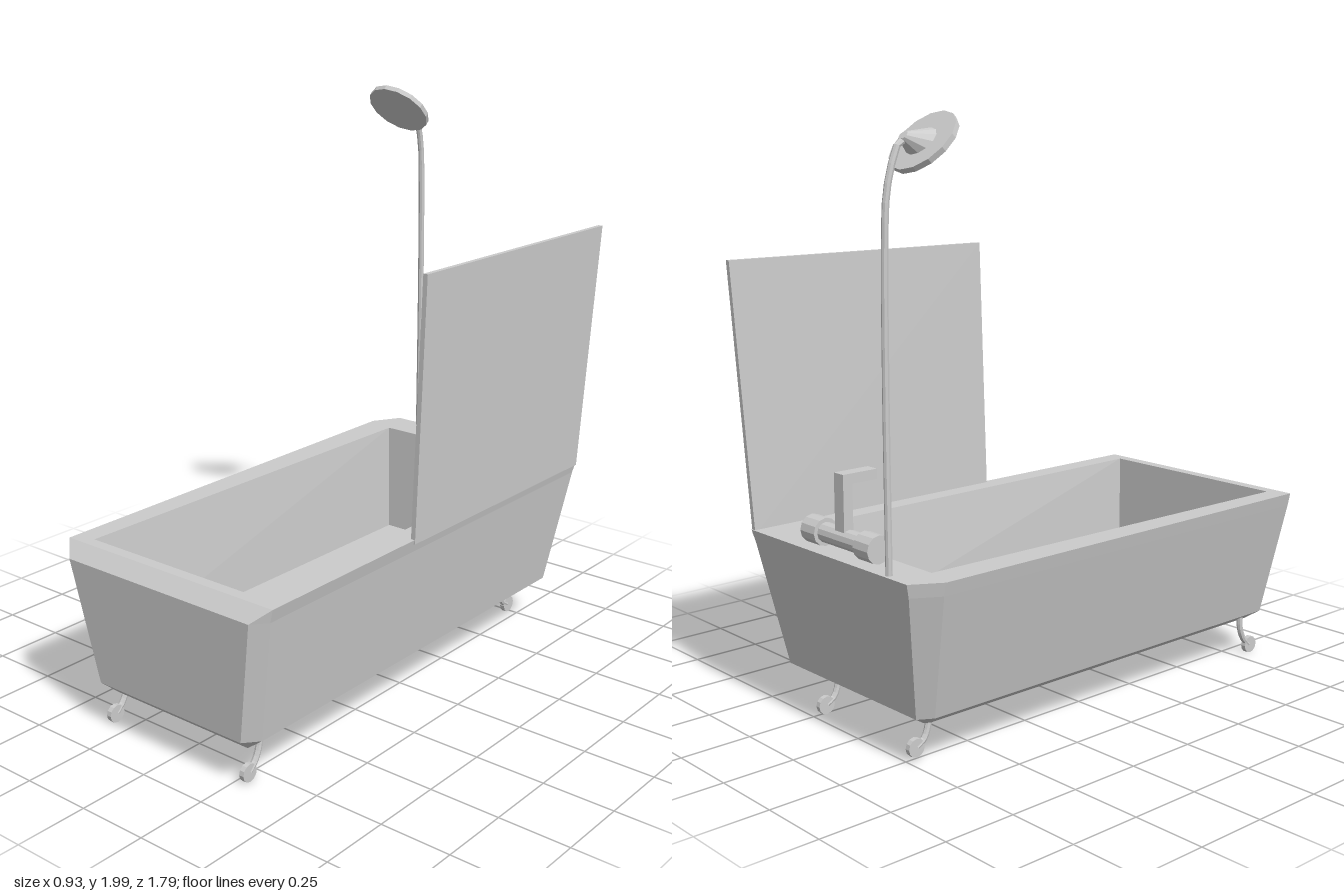
import * as THREE from 'three';

const mat = new THREE.MeshStandardMaterial({ color: 0xcccccc, flatShading: true });
const matThin = new THREE.MeshStandardMaterial({ color: 0xcccccc, flatShading: true, side: THREE.DoubleSide });

function add(parent, name, geometry, x = 0, y = 0, z = 0, material = mat) {
  const mesh = new THREE.Mesh(geometry, material);
  mesh.name = name;
  mesh.position.set(x, y, z);
  parent.add(mesh);
  return mesh;
}

function box(parent, name, x0, x1, y0, y1, z0, z1) {
  return add(parent, name, new THREE.BoxGeometry(x1 - x0, y1 - y0, z1 - z0),
    (x0 + x1) / 2, (y0 + y1) / 2, (z0 + z1) / 2);
}

function tube(parent, name, points, radius, segments) {
  const curve = new THREE.CatmullRomCurve3(points.map((p) => new THREE.Vector3(...p)));
  return add(parent, name, new THREE.TubeGeometry(curve, segments, radius, 8), 0, 0, 0, matThin);
}

// Horizontal cross-section: cut = front corner chamfer, back = chamfer of the
// right rear corner, taper = how much the rear is narrower on either side
function ring(y, x0, x1, z0, z1, { cut = 0, back = 0, taper = [0, 0] } = {}) {
  const r = x0 + taper[0], l = x1 - taper[1];
  return [
    [x1, y, z1 - cut], [l, y, z0], [l, y, z0],
    [r + back * 0.6, y, z0], [r, y, z0 + back],
    [x0, y, z1 - cut], [x0 + cut * 0.85, y, z1], [x1 - cut * 0.85, y, z1],
  ];
}

// Skin a stack of rings and cap both ends
function loft(rings) {
  const pos = [];
  const tri = (a, b, c) => pos.push(...a, ...b, ...c);
  const n = rings[0].length;
  for (let k = 0; k + 1 < rings.length; k++) {
    for (let i = 0; i < n; i++) {
      const j = (i + 1) % n, a = rings[k], b = rings[k + 1];
      tri(a[i], a[j], b[j]);
      tri(a[i], b[j], b[i]);
    }
  }
  const first = rings[0], last = rings[rings.length - 1];
  for (let i = 1; i + 1 < n; i++) {
    tri(first[0], first[i + 1], first[i]);
    tri(last[0], last[i], last[i + 1]);
  }
  const g = new THREE.BufferGeometry();
  g.setAttribute('position', new THREE.Float32BufferAttribute(pos, 3));
  g.computeVertexNormals();
  return g;
}

export function createModel() {
  const model = new THREE.Group();
  model.name = 'bathtubWithShower';

  // Tub: outer wall upwards, over the rim, down to the floor
  add(model, 'tub', loft([
    ring(0.125, -0.29, 0.29, -0.7, 0.83, { back: 0.02 }),
    ring(0.17, -0.36, 0.35, -0.77, 0.88, { cut: 0.05, back: 0.05 }),
    ring(0.59, -0.46, 0.41, -0.85, 0.9, { cut: 0.05, back: 0.09 }),
    ring(0.635, -0.47, 0.42, -0.86, 0.85, { back: 0.1 }),
    ring(0.635, -0.395, 0.35, -0.73, 0.81, { taper: [0.03, 0.02] }),
    ring(0.23, -0.36, 0.335, -0.71, 0.795, { taper: [0.015, 0.05] }),
  ]));

  // Splash screen leaning outwards, its rear edge leaning back
  const screen = new THREE.BoxGeometry(1, 1, 1);
  const p = screen.attributes.position;
  for (let i = 0; i < p.count; i++) {
    const top = p.getY(i) > 0, outer = p.getX(i) > 0, front = p.getZ(i) > 0;
    p.setXYZ(i,
      (top ? 0.445 : 0.405) + (outer ? 0.017 : 0) - (top && front ? 0.006 : 0),
      top ? 1.525 : 0.62,
      front ? 0.155 : top ? -0.895 : -0.855);
  }
  screen.computeVertexNormals();
  add(model, 'splashScreen', screen);

  // Shower pole and head
  const shower = new THREE.Group();
  shower.name = 'shower';
  model.add(shower);
  tube(shower, 'showerPole', [
    [-0.3, 0.62, -0.84], [-0.3, 1.2, -0.84], [-0.3, 1.6, -0.835], [-0.3, 1.76, -0.826],
    [-0.3, 1.86, -0.8], [-0.3, 1.91, -0.775], [-0.3, 1.925, -0.74],
  ], 0.011, 24);
  const head = new THREE.Group();
  head.name = 'showerHead';
  head.position.set(-0.3, 1.905, -0.688);
  head.rotation.x = -Math.PI / 4;
  shower.add(head);
  add(head, 'sprayDisc', new THREE.CylinderGeometry(0.118, 0.118, 0.018, 14));
  const neck = new THREE.CylinderGeometry(0.016, 0.06, 0.067, 12);
  const np = neck.attributes.position;
  for (let i = 0; i < np.count; i++) if (np.getY(i) > 0) np.setZ(i, np.getZ(i) - 0.039);
  neck.computeVertexNormals();
  add(head, 'headNeck', neck, 0, 0.034, 0);

  // Faucet: cross bar, two knobs and an angled spout
  const faucet = new THREE.Group();
  faucet.name = 'faucet';
  model.add(faucet);
  const bar = (name, r, length, x) => {
    add(faucet, name, new THREE.CylinderGeometry(r, r, length, 12), x, 0.685, -0.8).rotation.z = Math.PI / 2;
  };
  bar('faucetBody', 0.033, 0.24, -0.023);
  for (const s of [-1, 1]) bar(s > 0 ? 'leftKnob' : 'rightKnob', 0.046, 0.075, -0.023 + s * 0.14);
  box(faucet, 'spoutPost', -0.048, 0, 0.69, 0.895, -0.82, -0.785);
  box(faucet, 'spoutArm', -0.048, 0, 0.862, 0.895, -0.785, -0.69);

  // Four curved feet ending in upright discs
  for (const [name, x, z, y, dir] of [
    ['frontRightFoot', -0.32, 0.82, 0.033, 1], ['frontLeftFoot', 0.28, 0.82, 0.033, 1],
    ['backRightFoot', -0.26, -0.72, 0.045, -1], ['backLeftFoot', 0.222, -0.72, 0.045, -1],
  ]) {
    const foot = new THREE.Group();
    foot.name = name;
    model.add(foot);
    tube(foot, 'leg', [
      [x, 0.16, z - dir * 0.055], [x, 0.11, z - dir * 0.053],
      [x, 0.065, z - dir * 0.035], [x, y, z - dir * 0.005],
    ], 0.011, 8);
    add(foot, 'footDisc', new THREE.CylinderGeometry(0.031, 0.031, 0.018, 12), x, y, z).rotation.z = Math.PI / 2;
  }
  return model;
}
